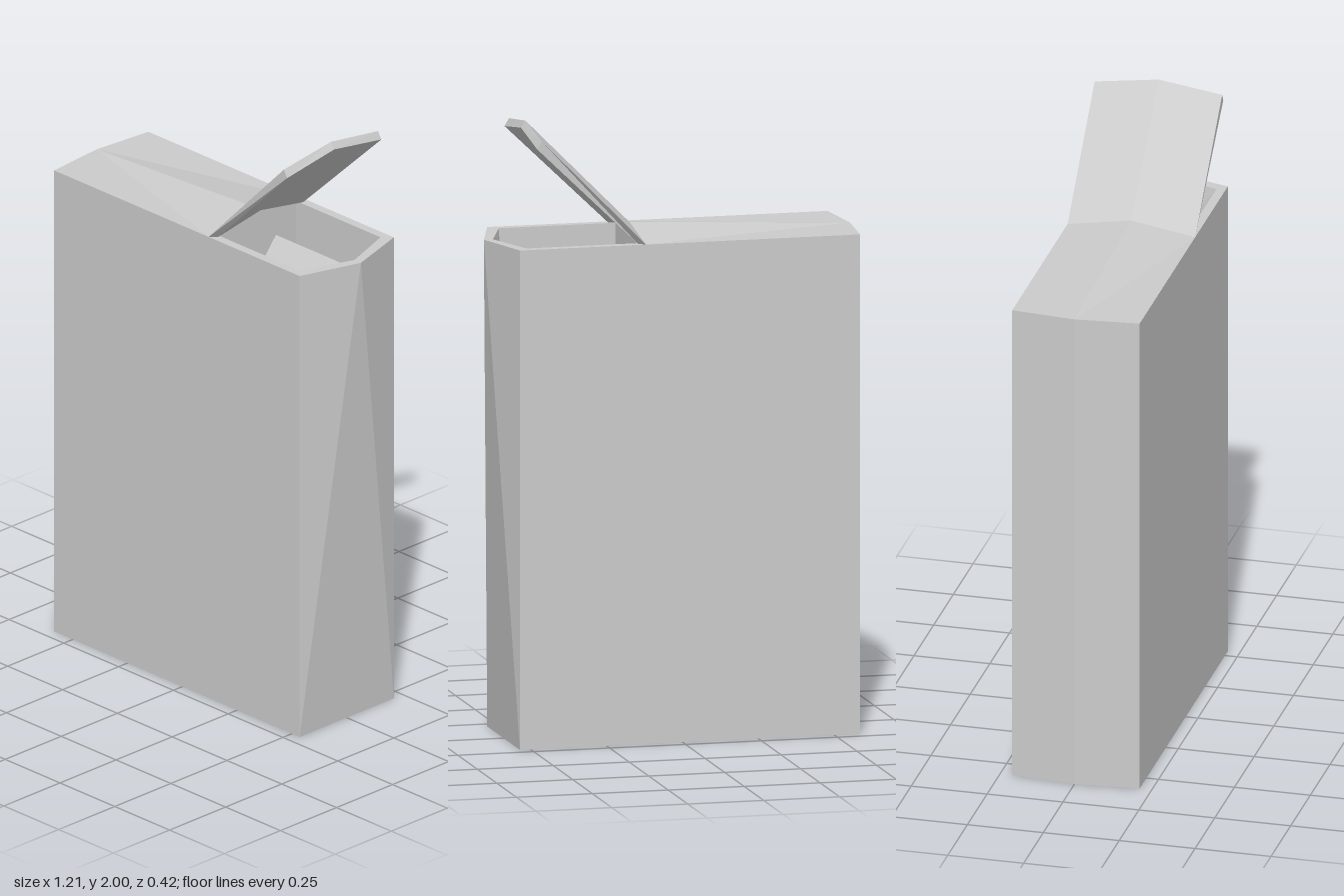
import * as THREE from 'three';

const H = 1.62, W = 0.21, HINGE = 0.12;

// Flat faceted mesh from polygons listed counter-clockwise (fans from the first corner)
function faceted(name, polygons, side = THREE.FrontSide) {
  const pos = [];
  for (const p of polygons)
    for (let i = 1; i < p.length - 1; i++) pos.push(...p[0], ...p[i], ...p[i + 1]);
  const geo = new THREE.BufferGeometry();
  geo.setAttribute('position', new THREE.Float32BufferAttribute(pos, 3));
  geo.computeVertexNormals();
  const mesh = new THREE.Mesh(geo, new THREE.MeshStandardMaterial({ color: 0xcccccc, flatShading: true, side }));
  mesh.name = name;
  return mesh;
}

// Quads joining two closed rings of equal length
const loft = (a, b) => a.map((p, i) => {
  const j = (i + 1) % a.length;
  return [p, a[j], b[j], b[i]];
});

// Box outline in plan: shallow point at -x, point of variable reach at +x
const outline = (y, nose) => [
  [-0.585, y, W], [HINGE, y, W], [0.535, y, W], [nose, y, 0],
  [0.535, y, -W], [HINGE, y, -W], [-0.585, y, -W], [-0.605, y, 0],
];

// Pocket outline
const pocket = (y, nose) => [
  [HINGE, y, 0.18], [0.505, y, 0.18], [nose, y, 0], [0.505, y, -0.18], [HINGE, y, -0.18],
];

// Gabled strip across the width: side, ridge, side
const gable = (x, y, ridge, w = W) => [[x, y, w], [x, ridge, 0], [x, y, -w]];

export function createModel() {
  const group = new THREE.Group();

  // Outer walls and base
  const bottom = outline(0, 0.535), top = outline(H, 0.6);
  const walls = loft(bottom, top);
  walls[3] = [top[3], bottom[3], bottom[4], top[4]]; // fold the nose evenly on both halves
  group.add(faceted('body', [...walls, [...bottom].reverse()]));

  // Fixed roof half, rising to the hinge
  const peak = [HINGE, 1.655, 0];
  group.add(faceted('roof', [
    [top[7], top[0], top[1], peak],
    [top[7], peak, top[5], top[6]],
    [top[1], top[5], peak],
  ], THREE.DoubleSide));

  // Rim around the opening
  const inner = pocket(H, 0.57), outer = top.slice(1, 6);
  const rim = [];
  for (let i = 0; i < 4; i++) rim.push([outer[i], outer[i + 1], inner[i + 1], inner[i]]);
  group.add(faceted('rim', rim));

  // Pocket inside the opening
  const floor = pocket(1.38, 0.53);
  group.add(faceted('pocketLining', [...loft(inner, floor), floor], THREE.DoubleSide));

  // Folded contents showing in the pocket: [z, y, reach in x]
  const folds = [[-0.18, 1.47, 0.5], [-0.09, 1.53, 0.522], [0, 1.42, 0.53], [0.18, 1.49, 0.5]];
  const contents = [];
  for (let i = 0; i < folds.length - 1; i++) {
    const [z0, y0, x0] = folds[i], [z1, y1, x1] = folds[i + 1];
    contents.push([[HINGE, y0, z0], [HINGE, y1, z1], [x1, y1, z1], [x0, y0, z0]]);
  }
  group.add(faceted('contents', contents, THREE.DoubleSide));

  // Raised lid: a gabled slab tilted up from the hinge
  const ring = (outside, inside) => [...outside, ...inside.reverse()];
  const lidBase = ring(gable(HINGE, H, 1.655), gable(0.142, H, 1.653, 0.19));
  const lidTip = ring(gable(0.463, 1.97, 2.0), gable(0.478, 1.945, 1.978));
  const cap = (r) => [[r[0], r[1], r[4], r[5]], [r[1], r[2], r[3], r[4]]];
  group.add(faceted('lid', [
    ...loft(lidBase, lidTip).map((q) => q.reverse()),
    ...cap(lidBase),
    ...cap(lidTip).map((q) => q.reverse()),
  ], THREE.DoubleSide));

  return group;
}
